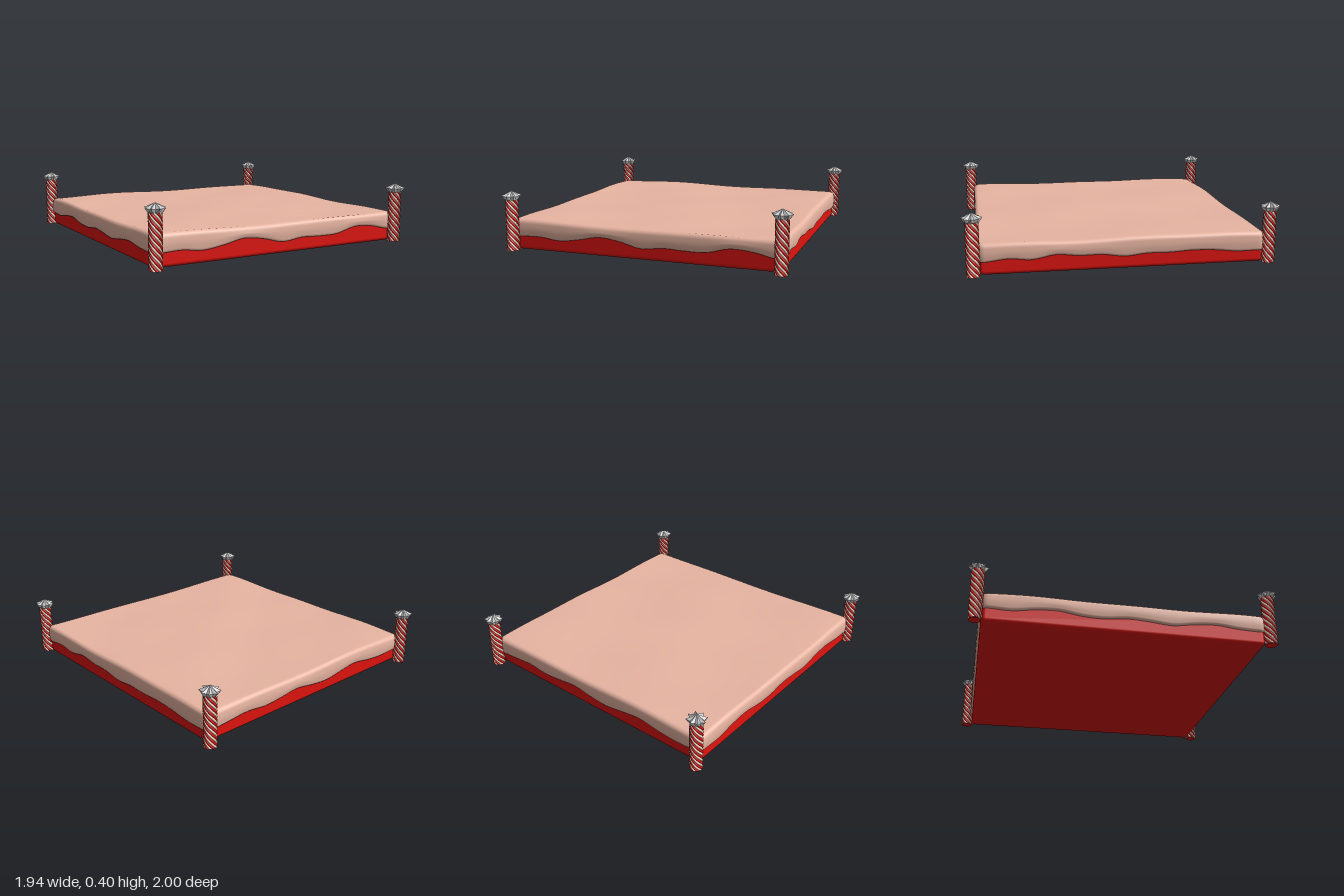
import * as THREE from 'three';
import { mergeGeometries } from 'three/addons/utils/BufferGeometryUtils.js';
import { RoundedBoxGeometry } from 'three/addons/geometries/RoundedBoxGeometry.js';

const mat = (color, extra = {}) => new THREE.MeshStandardMaterial({ color, ...extra });

function addMesh(parent, name, geometry, material) {
  const mesh = new THREE.Mesh(geometry, material);
  mesh.name = name;
  parent.add(mesh);
  return mesh;
}

// Skin over a grid of points; point(i, j) returns [x, y, z].
function surface(rows, cols, wrap, point) {
  const pos = [], index = [];
  for (let i = 0; i < rows; i++) for (let j = 0; j < cols; j++) pos.push(...point(i, j));
  for (let i = 0; i < rows - 1; i++) {
    for (let j = 0; j < (wrap ? cols : cols - 1); j++) {
      const a = i * cols + j, b = i * cols + (j + 1) % cols;
      index.push(a, a + cols, b, b, a + cols, b + cols);
    }
  }
  const g = new THREE.BufferGeometry();
  g.setAttribute('position', new THREE.Float32BufferAttribute(pos, 3));
  g.setIndex(index);
  g.computeVertexNormals();
  return g;
}

// Height of the icing's lower edge along the front, right, back and left sides
const DRIPS = [
  [0.09, 0.095, 0.08, 0.098, 0.125, 0.108, 0.075, 0.09, 0.085, 0.088, 0.122, 0.115, 0.085],
  [0.085, 0.1, 0.088, 0.113, 0.1, 0.1, 0.082, 0.095, 0.093, 0.1, 0.095, 0.08, 0.08],
  [0.08, 0.09, 0.1, 0.085, 0.095, 0.11, 0.09, 0.08, 0.1, 0.115, 0.095, 0.085, 0.09],
  [0.09, 0.085, 0.105, 0.112, 0.09, 0.085, 0.1, 0.092, 0.08, 0.1, 0.11, 0.095, 0.09],
].map(v => new THREE.SplineCurve(v.map((y, i) => new THREE.Vector2(i, y))));

// Soft rumples on top of the icing
const rumple = (x, z) =>
  0.005 * Math.sin(3.1 * x + 4.3 * z + 0.6) + 0.004 * Math.sin(6.5 * x - 2.2 * z + 1.9) +
  0.003 * Math.sin(2.4 * x + 9.1 * z) * Math.cos(5.2 * x + 1);

function icingGeometry() {
  const H = 0.915, R = 0.05, N = 48, ARC = 6;
  // Rounded square outline, counter-clockwise seen from above
  const outline = [];
  for (let s = 0; s < 4; s++) {
    const c = Math.cos(s * Math.PI / 2), d = Math.sin(s * Math.PI / 2);
    const put = (x, z, nx, nz, drip) => outline.push({
      x: x * c + z * d, z: z * c - x * d, nx: nx * c + nz * d, nz: nz * c - nx * d, drip,
    });
    for (let k = 0; k <= N; k++) {
      put((H - R) * (2 * k / N - 1), H, 0, 1, DRIPS[s].getPoint(k / N).y);
    }
    const from = DRIPS[s].getPoint(1).y, to = DRIPS[(s + 1) % 4].getPoint(0).y;
    for (let k = 1; k < ARC; k++) {
      const a = k / ARC * Math.PI / 2, nx = Math.sin(a), nz = Math.cos(a);
      put(H - R + R * nx, H - R + R * nz, nx, nz, THREE.MathUtils.lerp(from, to, k / ARC));
    }
  }
  const TOP = 24, EDGE = 5, SIDE = 4, inset = 0.03;
  const lip = [[0.001, 0.008], [0.007, 0.001], [0.016, 0], [0.04, 0.006]];
  return surface(TOP + 1 + EDGE + SIDE + lip.length, outline.length, true, (i, j) => {
    const p = outline[j];
    const at = (off, y) => [p.x - p.nx * off, y, p.z - p.nz * off];
    const topY = 0.2 + rumple(p.x, p.z);
    if (i <= TOP) {
      const [x, , z] = at(inset, 0).map(v => v * i / TOP);
      return [x, 0.2 + rumple(x, z), z];
    }
    i -= TOP;
    if (i <= EDGE) {
      const a = i / EDGE * Math.PI / 2;
      return at(inset * (1 - Math.sin(a)), topY - inset * (1 - Math.cos(a)));
    }
    i -= EDGE;
    if (i <= SIDE) {
      const t = i / SIDE;
      return at(-0.003 * Math.sin(t * Math.PI), THREE.MathUtils.lerp(topY - inset, p.drip + 0.016, t));
    }
    const [off, up] = lip[i - SIDE - 1];
    return at(off, p.drip + up);
  });
}

// Every second twisted rib of a candy post
function ribs(first) {
  const COUNT = 12, ROWS = 33, COLS = 6, HEIGHT = 0.345, TWIST = 1.35 * Math.PI * 2;
  const strips = [];
  for (let s = first; s < COUNT; s += 2) {
    strips.push(surface(ROWS, COLS, false, (i, j) => {
      const t = i / (ROWS - 1), v = j / (COLS - 1);
      const a = (s + v) / COUNT * Math.PI * 2 + t * TWIST;
      const r = 0.038 + 0.005 * Math.sin(v * Math.PI);
      return [r * Math.cos(a), HEIGHT * (1 - t), -r * Math.sin(a)];
    }));
  }
  return mergeGeometries(strips);
}

// Eight-pointed faceted star cap: rings of [tip radius, valley radius, tip y, valley y]
function starCapGeometry() {
  const rings = [
    [0, 0, 0.397, 0.397], [0.022, 0.018, 0.387, 0.383], [0.042, 0.032, 0.377, 0.371],
    [0.066, 0.044, 0.368, 0.361], [0.05, 0.041, 0.345, 0.342],
    [0.034, 0.034, 0.33, 0.33], [0, 0, 0.33, 0.33],
  ];
  return surface(rings.length, 16, true, (i, j) => {
    const odd = j % 2, a = j / 16 * Math.PI * 2;
    const r = rings[i][odd], y = rings[i][2 + odd];
    return [r * Math.cos(a), y, -r * Math.sin(a)];
  });
}

export function createModel() {
  const model = new THREE.Group();
  model.name = 'candyPlatform';
  const red = mat(0xe0140f);
  const white = mat(0xf6d8c8);
  const grey = mat(0xcccccc, { flatShading: true });

  // Slab and the icing poured over it
  const base = addMesh(model, 'base', new RoundedBoxGeometry(1.8, 0.18, 1.8, 4, 0.025), red);
  base.position.y = 0.09;
  addMesh(model, 'icing', icingGeometry(), mat(0xe8b5a2));

  // Striped corner posts with star caps
  const redRibs = ribs(0), whiteRibs = ribs(1), cap = starCapGeometry();
  const foot = new THREE.CircleGeometry(0.039, 24).rotateX(Math.PI / 2);
  for (const x of [-0.903, 0.903]) {
    for (const z of [-0.935, 0.935]) {
      const post = new THREE.Group();
      post.name = (z > 0 ? 'front' : 'back') + (x > 0 ? 'Left' : 'Right') + 'Post';
      post.position.set(x, 0, z);
      addMesh(post, 'redStripes', redRibs, red);
      addMesh(post, 'whiteStripes', whiteRibs, white);
      addMesh(post, 'foot', foot, red);
      addMesh(post, 'starCap', cap, grey);
      model.add(post);
    }
  }
  return model;
}
